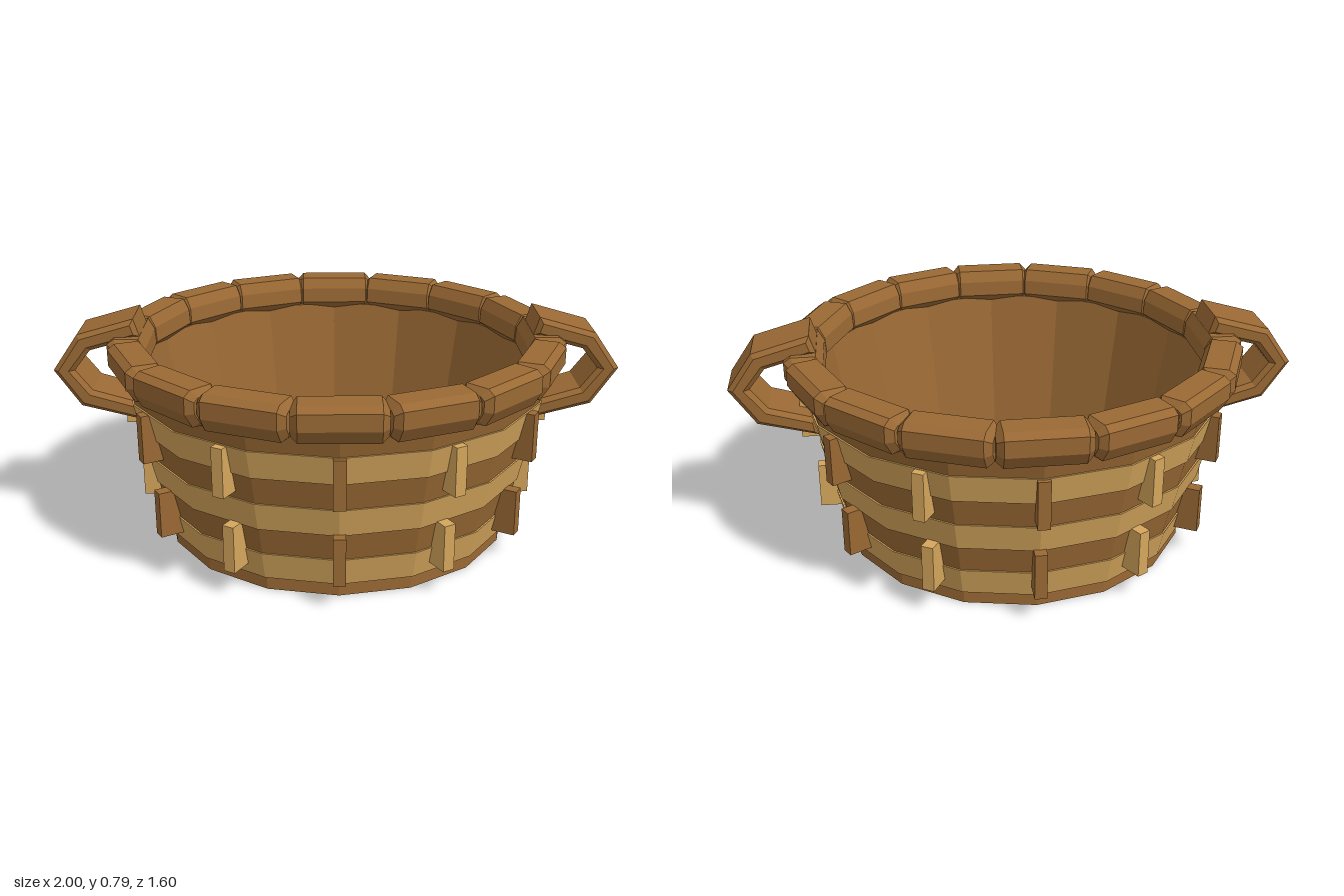
import * as THREE from 'three';
import { ConvexGeometry } from 'three/addons/geometries/ConvexGeometry.js';

const SIDES = 16;
const brown = new THREE.MeshStandardMaterial({ name: 'brownWood', color: 0x9a6934, flatShading: true });
const straw = new THREE.MeshStandardMaterial({ name: 'lightStraw', color: 0xd5a65c, flatShading: true });

function add(parent, name, geometry, material) {
  const mesh = new THREE.Mesh(geometry, material);
  mesh.name = name;
  parent.add(mesh);
  return mesh;
}

// Solid of revolution from [radius, height] pairs
const ring = (pairs) => new THREE.LatheGeometry(pairs.map(([r, y]) => new THREE.Vector2(r, y)), SIDES);

// Outer radius of the flared wall at height y
const wallRadius = (y) => 0.632 + (y - 0.05) * 0.228;

// Eight-sided bar along x, leaning with the wall, with tapered ends
function rimBar() {
  const profile = [
    [0.775, 0.73], [0.8, 0.712], [0.8, 0.655], [0.77, 0.606],
    [0.70, 0.60], [0.664, 0.635], [0.668, 0.69], [0.69, 0.73],
  ];
  const points = [];
  for (const [x, s] of [[0.15, 0.66], [0.128, 1]]) {
    for (const [r, y] of profile) {
      const py = 0.665 + (y - 0.665) * s;
      const pz = 0.735 + (r - 0.735) * s;
      points.push(new THREE.Vector3(x, py, pz), new THREE.Vector3(-x, py, pz));
    }
  }
  return new ConvexGeometry(points);
}

// Angular loop handle, drawn in x/y and extruded across z
function handleGeometry() {
  const outline = [
    [0.71, 0.792], [0.91, 0.735], [1.0, 0.605], [0.91, 0.472], [0.70, 0.418],
    [0.705, 0.482], [0.868, 0.53], [0.925, 0.605], [0.868, 0.678], [0.69, 0.728],
  ];
  const shape = new THREE.Shape(outline.map(([x, y]) => new THREE.Vector2(x, y)));
  const bevel = 0.016;
  const geometry = new THREE.ExtrudeGeometry(shape, {
    depth: 0.21 - 2 * bevel, bevelEnabled: true, bevelSegments: 1,
    bevelSize: bevel, bevelThickness: bevel, bevelOffset: -bevel,
  });
  geometry.translate(0, 0, -(0.105 - bevel));
  return geometry;
}

export function createModel() {
  const model = new THREE.Group();
  model.name = 'basket';

  // Hollow body with base and floor
  add(model, 'body', ring([
    [0, 0], [0.624, 0], [0.624, 0.05], [0.632, 0.05], [wallRadius(0.62), 0.62],
    [0.70, 0.62], [0.592, 0.04], [0, 0.04],
  ]), brown);

  // Light woven bands, slightly proud of the wall
  for (const y of [0.05, 0.25, 0.45]) {
    const top = y + 0.1;
    const a = wallRadius(y);
    const b = wallRadius(top);
    add(model, 'lightBand', ring([
      [a - 0.005, y], [a + 0.006, y], [b + 0.006, top], [b - 0.005, top],
    ]), straw);
  }

  // Two rows of upright stakes in alternating colours
  const rows = [
    { name: 'lowerStake', y: 0.172, height: 0.166, inner: 0.635, outer: 0.718 },
    { name: 'upperStake', y: 0.463, height: 0.17, inner: 0.685, outer: 0.765 },
  ];
  for (const row of rows) {
    const geometry = new THREE.BoxGeometry(0.042, row.height, row.outer - row.inner);
    geometry.translate(0, row.y, (row.inner + row.outer) / 2);
    for (let i = 0; i < 12; i++) {
      const stake = add(model, row.name, geometry, i % 2 ? straw : brown);
      stake.rotation.y = (i * Math.PI) / 6;
    }
  }

  // Rim of chunky bars
  const bar = rimBar();
  for (let i = 0; i < SIDES; i++) {
    add(model, 'rimBar', bar, brown).rotation.y = (i * 2 * Math.PI) / SIDES;
  }

  // Side handles
  const handle = handleGeometry();
  add(model, 'leftHandle', handle, brown);
  add(model, 'rightHandle', handle, brown).rotation.y = Math.PI;

  return model;
}
